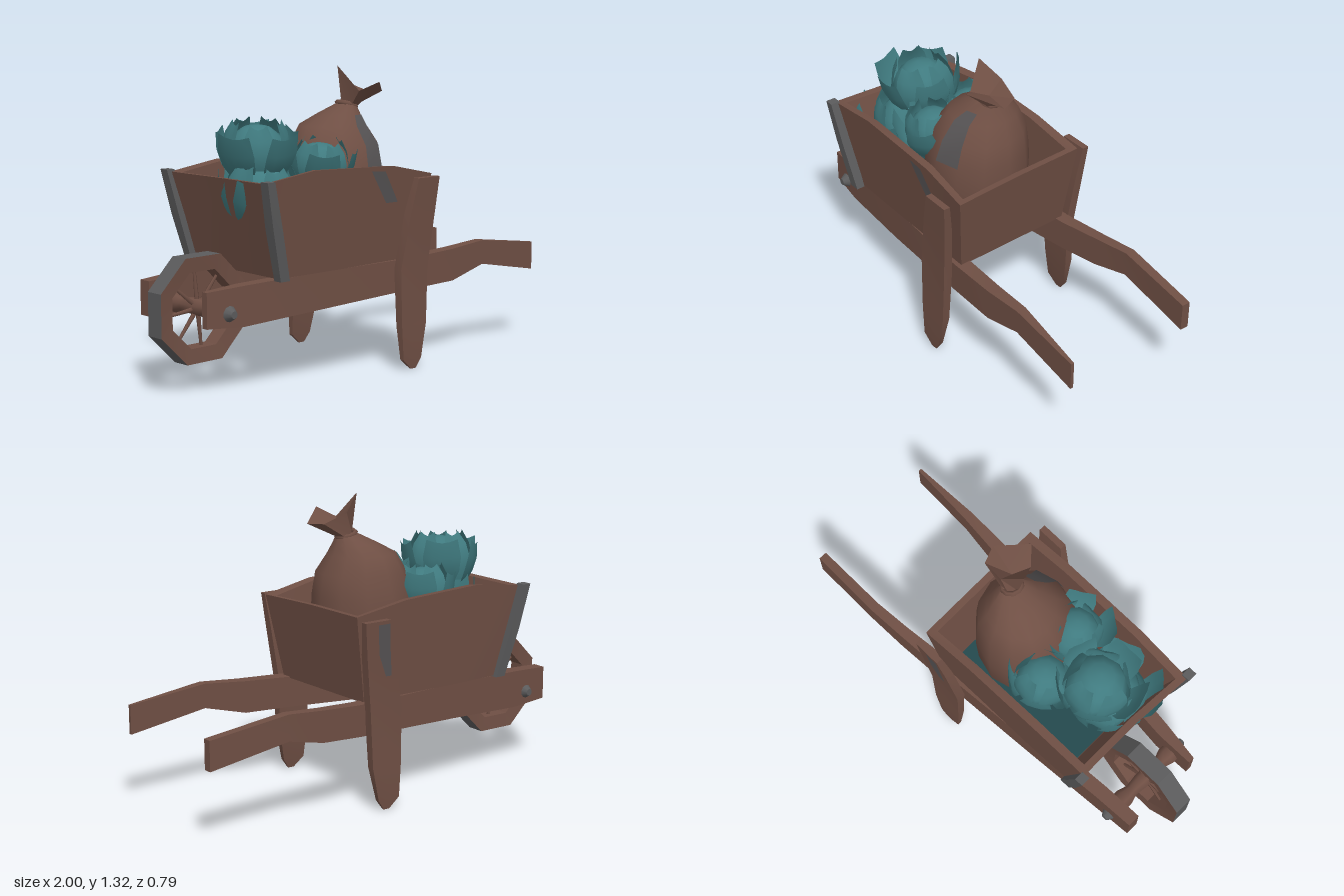
import * as THREE from 'three';
import { toCreasedNormals } from 'three/addons/utils/BufferGeometryUtils.js';

const mat = (name, color, side = THREE.FrontSide) => {
  const m = new THREE.MeshStandardMaterial({ color, side });
  m.name = name;
  return m;
};

// Skin a list of equal-length rings, cap both ends, and face everything outward
function loft(rings, crease = 0.6) {
  const n = rings[0].length, pos = rings.flat(2), idx = [];
  for (let i = 0; i < rings.length - 1; i++)
    for (let j = 0; j < n; j++) {
      const a = i * n + j, b = i * n + (j + 1) % n;
      idx.push(a, b, b + n, a, b + n, a + n);
    }
  [0, rings.length - 1].forEach((r, end) => {
    const c = pos.length / 3;
    for (let k = 0; k < 3; k++) pos.push(rings[r].reduce((s, p) => s + p[k], 0) / n);
    for (let j = 0; j < n; j++) {
      const a = r * n + j, b = r * n + (j + 1) % n;
      end ? idx.push(c, a, b) : idx.push(c, b, a);
    }
  });
  const v = i => new THREE.Vector3().fromArray(pos, i * 3);
  let volume = 0;
  for (let i = 0; i < idx.length; i += 3) volume += v(idx[i]).dot(v(idx[i + 1]).cross(v(idx[i + 2])));
  if (volume < 0) idx.reverse();
  const g = new THREE.BufferGeometry();
  g.setAttribute('position', new THREE.Float32BufferAttribute(pos, 3));
  g.setIndex(idx);
  return toCreasedNormals(g, crease);
}

const signs = [[-1, -1], [1, -1], [1, 1], [-1, 1]];
// Rectangular sections along x: [x, y, z, height, depth]
const beam = s => loft(s.map(([x, y, z, h, d]) => signs.map(([a, b]) => [x, y + a * h / 2, z + b * d / 2])));
// Rectangular sections along y: [x, y, z, width, depth]
const post = s => loft(s.map(([x, y, z, w, d]) => signs.map(([a, b]) => [x + a * w / 2, y, z + b * d / 2])));
// Round sections along y: [x, y, z, radius]
const round = (s, n) => loft(s.map(([x, y, z, r]) => Array.from({ length: n }, (_, i) => {
  const t = i / n * Math.PI * 2;
  return [x + r * Math.cos(t), y, z + r * Math.sin(t)];
})), 0.9);

// Open strip between two edges, for painted patches and cloth
function strip(left, right) {
  const idx = [];
  for (let i = 0; i < left.length - 1; i++) {
    const a = i, b = left.length + i;
    idx.push(a, b, b + 1, a, b + 1, a + 1);
  }
  const g = new THREE.BufferGeometry();
  g.setAttribute('position', new THREE.Float32BufferAttribute([...left, ...right].flat(), 3));
  g.setIndex(idx);
  return toCreasedNormals(g, 0.5);
}

// Cupped leaf wrapping a ball of radius r, its tip flaring outward
function leaf(r, azimuth, low, high, flare) {
  const g = new THREE.PlaneGeometry(2, 1, 4, 4), p = g.attributes.position;
  for (let i = 0; i < p.count; i++) {
    const u = p.getX(i), v = p.getY(i) + 0.5;
    const el = low + (high - low) * v, a = azimuth + u * 0.75 * (0.45 + 0.9 * v - 0.85 * v * v);
    const d = r * (1.06 + flare * v * v - 0.06 * (1 - Math.abs(u)));
    p.setXYZ(i, d * Math.cos(el) * Math.cos(a), d * Math.sin(el) + 0.1 * r * u * u * v, d * Math.cos(el) * Math.sin(a));
  }
  return toCreasedNormals(g, 0.5);
}

export function createModel() {
  const model = new THREE.Group();
  model.name = 'loadedWheelbarrow';
  const wood = mat('brown', 0x6f4f44);
  const cloth = mat('brown cloth', 0x6f4f44, THREE.DoubleSide);
  const grey = mat('iron grey', 0x5b5b5c);
  const patch = mat('worn grey', 0x565354, THREE.DoubleSide);
  const teal = mat('leaf teal', 0x407b80, THREE.DoubleSide);
  const darkTeal = mat('shadowy teal', 0x24494e);
  const add = (name, geometry, material, parent = model) => {
    const m = new THREE.Mesh(geometry, material);
    m.name = name;
    parent.add(m);
    return m;
  };

  // Tray: hollow flared box with a wavy rim
  const rim = [[-0.675, 0.88, 0.31], [-0.4, 0.915, 0.315], [0.05, 0.9, 0.32], [0.285, 0.85, 0.325], [0.275, 0.86, 0],
    [0.265, 0.86, -0.33], [0, 0.9, -0.325], [-0.4, 0.915, -0.32], [-0.665, 0.88, -0.31], [-0.66, 0.88, 0]];
  const base = rim.map(([x, , z]) => [-0.165 + (x + 0.19) * 0.82, 0.475, z * 0.88 - 0.01]);
  const inset = (ring, dy) => ring.map(([x, y, z]) => [-0.18 + (x + 0.18) * 0.93, y + dy, z * 0.88]);
  add('tray', loft([base, rim, inset(rim, -0.003), inset(base, 0.04)]), wood);
  const floor = inset(base, 0.045);
  add('trayFloor', loft([floor, floor.map(([x, y, z]) => [x, y + 0.006, z])]), darkTeal);
  add('trayPatch', strip([[-0.08, 0.885, 0.322], [0.02, 0.74, 0.308]], [[0.0, 0.88, 0.324], [0.09, 0.74, 0.309]]), patch);

  // Iron posts on the front corners
  for (const s of [1, -1])
    add('cornerPost', post([[-0.56, 0.47, s * 0.285, 0.05, 0.04], [-0.62, 0.69, s * 0.305, 0.05, 0.05],
      [-0.67, 0.89, s * 0.325, 0.04, 0.045]]), grey);

  // Long bent beams that end in the handles
  add('leftBeam', beam([[-0.88, 0.375, 0.175, 0.15, 0.03], [-0.7, 0.375, 0.185, 0.17, 0.06], [-0.3, 0.395, 0.225, 0.16, 0.07],
    [0.2, 0.41, 0.262, 0.14, 0.07], [0.45, 0.42, 0.277, 0.145, 0.06], [0.65, 0.455, 0.285, 0.11, 0.045], [1, 0.4, 0.302, 0.13, 0.015]]), wood);
  add('rightBeam', beam([[-0.89, 0.375, -0.205, 0.15, 0.06], [-0.7, 0.375, -0.215, 0.17, 0.065], [-0.3, 0.395, -0.25, 0.16, 0.07],
    [0.25, 0.41, -0.3, 0.14, 0.06], [0.45, 0.425, -0.32, 0.14, 0.05], [0.63, 0.455, -0.335, 0.115, 0.045], [1, 0.4, -0.322, 0.13, 0.04]]), wood);

  // Tapered legs with worn patches
  for (const s of [1, -1]) {
    const name = s > 0 ? 'left' : 'right';
    add(name + 'Leg', post([[0.135, 0.005, s * 0.362, 0.03, 0.008], [0.125, 0.05, s * 0.36, 0.11, 0.02], [0.135, 0.2, s * 0.352, 0.15, 0.035],
      [0.138, 0.45, s * 0.345, 0.165, 0.042], [0.175, 0.7, s * 0.362, 0.15, 0.04], [0.2, 0.845, s * 0.378, 0.13, 0.03]]), wood);
    if (s < 0) add('legPatch', strip([[0.14, 0.83, -0.394], [0.13, 0.7, -0.385], [0.12, 0.6, -0.379]],
      [[0.2, 0.83, -0.394], [0.19, 0.7, -0.385], [0.15, 0.6, -0.379]]), patch);
  }

  // Eight-sided wheel
  const wheel = new THREE.Group();
  wheel.name = 'wheel';
  wheel.position.set(-0.775, 0.348, 0);
  model.add(wheel);
  const side = [[0.24, 0.043], [0.172, 0.036], [0.172, -0.036], [0.24, -0.043]].map(p => new THREE.Vector2(...p));
  const turn = g => toCreasedNormals(g.rotateX(Math.PI / 2).rotateZ(0.4), 0.4);
  add('rim', turn(new THREE.LatheGeometry(side, 8)), wood, wheel);
  add('tread', turn(new THREE.CylinderGeometry(0.24, 0.24, 0.086, 8, 1, true)), grey, wheel);
  for (let i = 0; i < 8; i++) {
    const spoke = new THREE.CylinderGeometry(0.006, 0.011, 0.17, 5);
    add('spoke', spoke.translate(0, 0.095, 0).rotateZ(i * Math.PI / 4 + 0.1), wood, wheel);
  }

  // Axle, thick at its ends, with bolt heads outside the beams
  const axle = [[0.045, -0.2], [0.045, -0.14], [0.03, -0.09], [0.038, -0.03], [0.038, 0.03], [0.03, 0.09], [0.045, 0.13], [0.045, 0.18]];
  add('axle', new THREE.LatheGeometry(axle.map(p => new THREE.Vector2(...p)), 7).rotateX(Math.PI / 2).translate(-0.775, 0.352, 0), wood);
  for (const [z, s] of [[0.222, 1], [-0.252, -1]])
    add('bolt', new THREE.CylinderGeometry(0.016, 0.034, 0.03, 10).rotateX(s * Math.PI / 2).translate(-0.775, 0.352, z), grey);

  // Sack leaning toward its tied neck
  const sack = [[-0.02, 0.5, 0, 0.18], [-0.02, 0.62, 0.005, 0.225], [-0.018, 0.8, 0.005, 0.232], [-0.012, 0.88, 0.005, 0.223],
    [0, 0.98, 0, 0.2], [0.005, 1.06, -0.012, 0.152], [0.035, 1.105, -0.005, 0.1], [0.07, 1.15, 0.005, 0.045]];
  add('sack', round(sack, 12), wood);
  const seam = t => sack.slice(3, 7).map(([x, y, z, r]) => [x + (r + 0.004) * Math.cos(t), y, z + (r + 0.004) * Math.sin(t)]);
  add('sackStripe', strip(seam(Math.PI / 2), seam(Math.PI / 3)), patch);
  add('sackTie', new THREE.TorusGeometry(0.042, 0.012, 5, 10).rotateX(Math.PI / 2).rotateZ(-0.3).translate(0.075, 1.145, 0.005), wood);

  // Gathered cloth above the tie
  const tips = [[0.01, 1.32, 0.015], [0.1, 1.245, -0.035], [0.21, 1.205, -0.02], [0.242, 1.2, 0.06], [0.12, 1.25, 0.165], [0.06, 1.21, 0.1]];
  const neck = tips.map((_, i) => {
    const t = Math.PI + i * Math.PI / 3;
    return [0.085 + 0.042 * Math.cos(t), 1.14, 0.008 + 0.042 * Math.sin(t)];
  });
  add('sackTuft', strip([...neck, neck[0]], [...tips, tips[0]]), cloth);
  add('tuftFold', strip([...tips, tips[0]], Array(7).fill([0.1, 1.185, 0.03])), cloth);

  // Cabbages: a round heart wrapped in flaring leaves
  const cabbages = [[-0.44, 0.955, -0.01, 0.135, 0.3], [-0.19, 0.89, 0.11, 0.115, 0.9], [-0.24, 0.87, -0.13, 0.115, 0.2], [-0.46, 0.77, 0.05, 0.15, 0.7]];
  for (const [x, y, z, r, spin] of cabbages) {
    const cabbage = new THREE.Group();
    cabbage.name = 'cabbage';
    cabbage.position.set(x, y, z);
    cabbage.rotation.set(0.1, spin, 0.08);
    model.add(cabbage);
    add('heart', new THREE.SphereGeometry(r, 10, 7), teal, cabbage);
    for (let i = 0; i < 5; i++) {
      const a = i * Math.PI * 0.4;
      add('innerLeaf', leaf(r, a, -0.5, 0.95, 0.18 + 0.06 * (i % 2)), teal, cabbage);
      add('outerLeaf', leaf(r, a + 0.6, -0.9, 0.5, 0.42 + 0.12 * (i % 3)), teal, cabbage);
    }
  }
  return model;
}
